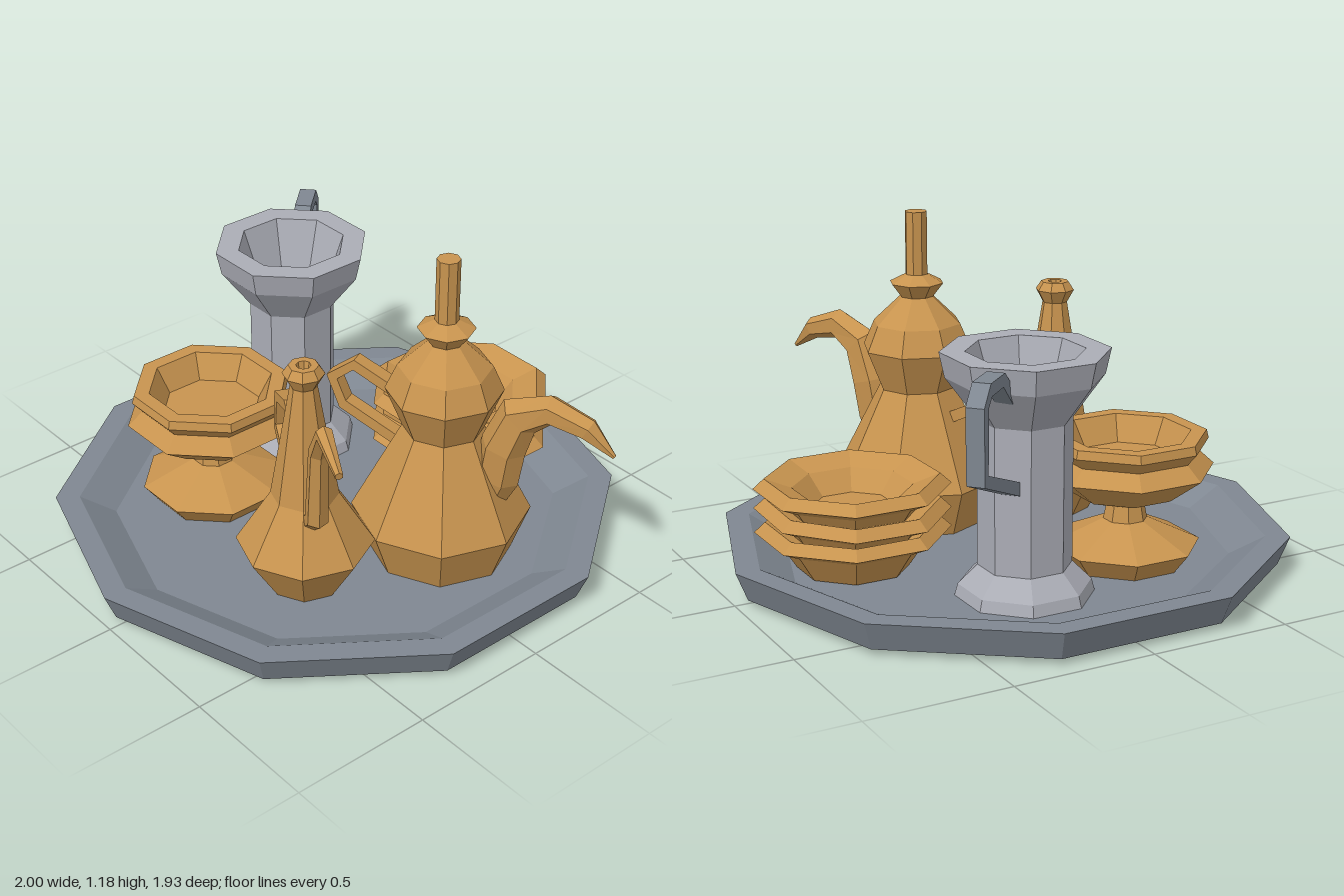
import * as THREE from 'three';

const mat = (name, color) => Object.assign(new THREE.MeshStandardMaterial({ color }), { name });

// faceted normals on any geometry
function facet(geo) {
  const g = geo.index ? geo.toNonIndexed() : geo;
  g.computeVertexNormals();
  return g;
}

// faceted turned part; profile runs up the outside, then down the inside
function turned(name, profile, sides, start, material) {
  const pts = profile.map(([r, y]) => new THREE.Vector2(r, y));
  const mesh = new THREE.Mesh(facet(new THREE.LatheGeometry(pts, sides, start)), material);
  mesh.name = name;
  return mesh;
}

// flat-sided octagon: profile widths are given to the flats
function turnedFlat(name, profile, material) {
  const k = 1 / Math.cos(Math.PI / 8);
  return turned(name, profile.map(([r, y]) => [r * k, y]), 8, Math.PI / 8, material);
}

// tapered bar in the vertical plane along (dx, dz); path rows: [distance, height, thickness, width]
function sweep(name, path, [dx, dz], sides, turn, material) {
  const dir = new THREE.Vector3(dx, 0, dz).normalize();
  const up = new THREE.Vector3(0, 1, 0);
  const place = (d, y) => dir.clone().multiplyScalar(d).addScaledVector(up, y);
  const pos = [], index = [], last = path.length - 1;
  path.forEach(([d, y, t, w], i) => {
    const a = path[Math.max(i - 1, 0)], b = path[Math.min(i + 1, last)];
    const T = place(b[0] - a[0], b[1] - a[1]).normalize();
    const N = place(-(b[1] - a[1]), b[0] - a[0]).normalize();
    const B = T.clone().cross(N);
    for (let k = 0; k < sides; k++) {
      const ang = turn + (k / sides) * Math.PI * 2;
      const p = place(d, y).addScaledVector(N, Math.cos(ang) * t).addScaledVector(B, Math.sin(ang) * w);
      pos.push(p.x, p.y, p.z);
    }
  });
  for (let i = 0; i < last; i++) {
    for (let k = 0; k < sides; k++) {
      const a = i * sides + k, b = i * sides + (k + 1) % sides;
      index.push(a, b, a + sides, b, b + sides, a + sides);
    }
  }
  // end caps
  for (let k = 1; k < sides - 1; k++) {
    const e = last * sides;
    index.push(0, k + 1, k, e, e + k, e + k + 1);
  }
  const geo = new THREE.BufferGeometry();
  geo.setAttribute('position', new THREE.Float32BufferAttribute(pos, 3));
  geo.setIndex(index);
  const mesh = new THREE.Mesh(facet(geo), material);
  mesh.name = name;
  return mesh;
}

// rectangular bar of constant section
const bar = (name, path, dir, t, w, material) =>
  sweep(name, path.map(([d, y]) => [d, y, t * Math.SQRT2, w * Math.SQRT2]), dir, 4, Math.PI / 4, material);

function group(name, x, z, ...parts) {
  const g = new THREE.Group();
  g.name = name;
  g.position.set(x, 0, z);
  g.add(...parts);
  return g;
}

export function createModel() {
  const copper = mat('copper', 0xc8944f);
  const steel = mat('steel', 0x7f8791);
  const silver = mat('silver', 0xabadb6);
  const model = new THREE.Group();
  model.name = 'teaSet';

  // ten-sided tray with a sloping inner wall
  model.add(group('tray', 0, -0.02, turned('trayBody', [
    [0, 0], [0.96, 0.02], [1, 0.12], [0.915, 0.12], [0.79, 0.05], [0, 0.05],
  ], 10, Math.PI / 2, steel)));

  // slim ewer
  const ewerDir = [-0.44, 0.9], ewerBack = [0.43, -0.9];
  model.add(group('ewer', -0.365, 0.255,
    turned('ewerBody', [
      [0, 0.05], [0.13, 0.05], [0.235, 0.22], [0.115, 0.41], [0.045, 0.83],
      [0.07, 0.875], [0.05, 0.905], [0.025, 0.905], [0.018, 0.87], [0, 0.87],
    ], 8, 0.06, copper),
    sweep('ewerSpout', [
      [0.09, 0.36, 0.035, 0.035], [0.17, 0.42, 0.04, 0.04], [0.2, 0.7, 0.034, 0.034],
      [0.28, 0.82, 0.028, 0.03], [0.47, 0.79, 0.014, 0.014],
    ], ewerDir, 6, 0, copper),
    bar('ewerHandle', [
      [0.04, 0.58], [0.18, 0.645], [0.31, 0.6], [0.33, 0.47], [0.12, 0.36],
    ], ewerBack, 0.02, 0.026, copper)));

  // large pot with a tall finial
  const potDir = [0.39, 0.92], potBack = [-0.44, -0.9];
  model.add(group('pot', 0.12, 0.4,
    turned('potBody', [
      [0, 0.05], [0.25, 0.05], [0.31, 0.215], [0.14, 0.545], [0.2, 0.69], [0.16, 0.78],
      [0.06, 0.875], [0.098, 0.925], [0.04, 0.955], [0.04, 1.18], [0, 1.18],
    ], 8, 0.05, copper),
    sweep('potSpout', [
      [0.17, 0.28, 0.05, 0.03], [0.2, 0.4, 0.08, 0.06], [0.22, 0.53, 0.08, 0.07], [0.27, 0.66, 0.075, 0.06],
      [0.38, 0.715, 0.055, 0.05], [0.51, 0.68, 0.04, 0.04], [0.605, 0.6, 0.008, 0.008],
    ], potDir, 6, 0, copper),
    bar('potHandle', [
      [0.14, 0.63], [0.32, 0.715], [0.4, 0.65], [0.36, 0.55], [0.13, 0.44],
    ], potBack, 0.02, 0.026, copper)));

  // tall jug with a flared rim and foot
  model.add(group('jug', 0.16, -0.46,
    turnedFlat('jugBody', [
      [0, 0.05], [0.215, 0.05], [0.205, 0.09], [0.145, 0.155], [0.145, 0.65], [0.24, 0.79],
      [0.257, 0.875], [0.18, 0.875], [0.115, 0.67], [0, 0.67],
    ], silver),
    bar('jugHandle', [
      [0.2, 0.77], [0.3, 0.855], [0.42, 0.855], [0.465, 0.81], [0.465, 0.58], [0.13, 0.45],
    ], [0.74, -0.68], 0.022, 0.03, steel)));

  // stack of three saucers, the middle one askew
  const saucers = group('saucers', 0.55, 0.035);
  for (let i = 0; i < 3; i++) {
    const dish = turnedFlat('saucer', [
      [0, -0.13], [0.18, -0.13], [0.24, -0.035], [0.31, 0], [0.275, 0.035],
      [0.19, 0], [0.13, -0.07], [0, -0.07],
    ], copper);
    dish.position.y = 0.183 + i * 0.077;
    if (i === 1) dish.rotation.set(-0.04, 0, 0.015);
    saucers.add(dish);
  }
  model.add(saucers);

  // footed bowl
  model.add(group('footedBowl', -0.29, -0.36, turnedFlat('bowlBody', [
    [0, 0.05], [0.19, 0.05], [0.24, 0.12], [0.07, 0.205], [0.06, 0.26], [0.17, 0.3], [0.28, 0.39],
    [0.23, 0.44], [0.262, 0.48], [0.255, 0.51], [0.205, 0.51], [0.16, 0.42], [0, 0.42],
  ], copper)));

  return model;
}
